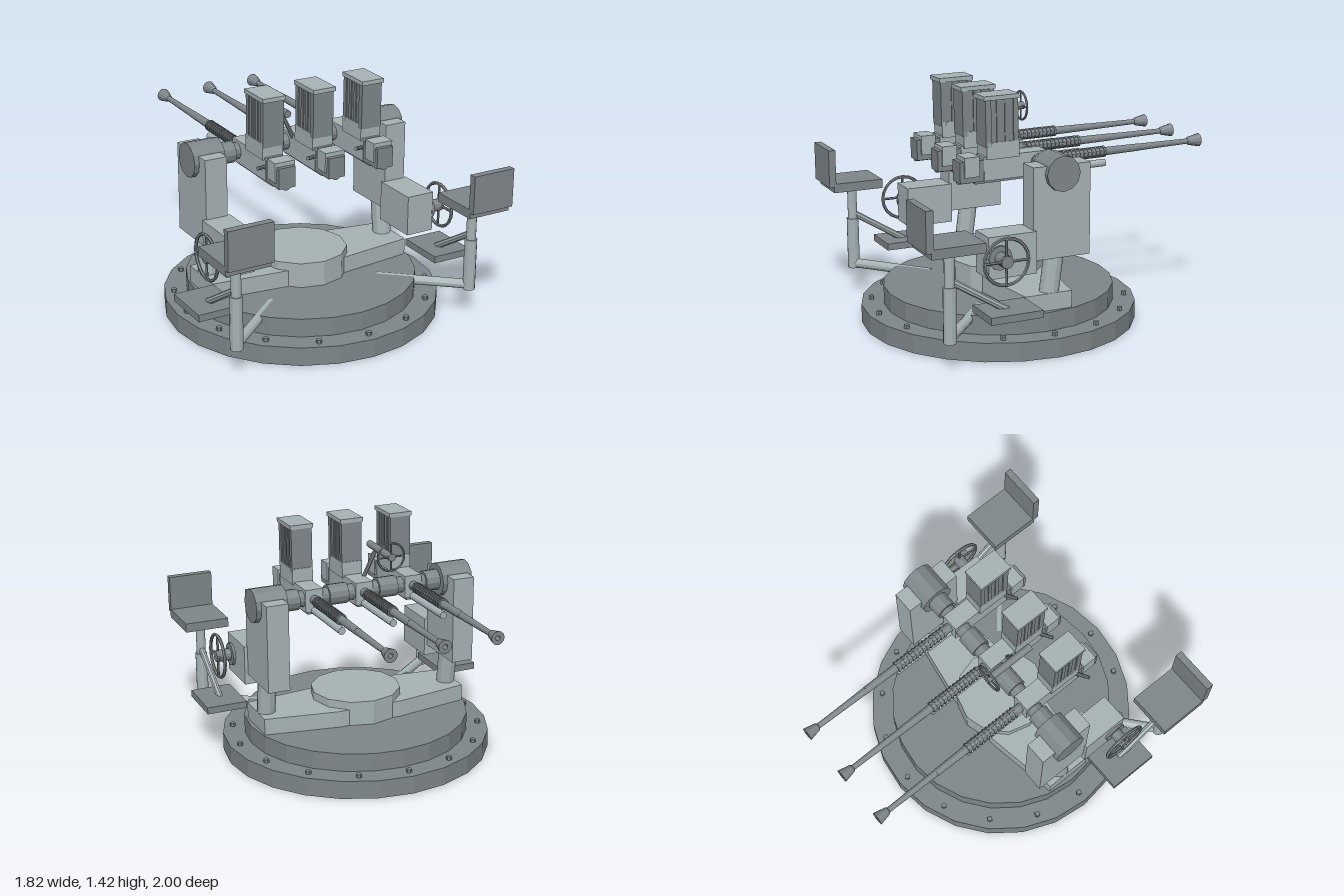
import * as THREE from 'three';

const paint = color => new THREE.MeshStandardMaterial({ color, flatShading: true });
const dark = paint(0x7e8689), light = paint(0xa6b2b5);

// Parts in the lighter paint; all others are dark
const lightParts = new Set(['hub', 'crossBeam', 'supportColumn', 'upright', 'gearbox', 'seatPost', 'seatSocket',
  'seatArm', 'seatStrut', 'magazineSeat', 'magazineCap', 'receiver', 'rearCover', 'gasTube']);

function add(parent, name, geo, x = 0, y = 0, z = 0) {
  const m = new THREE.Mesh(geo, lightParts.has(name) ? light : dark);
  m.name = name;
  m.position.set(x, y, z);
  parent.add(m);
  return m;
}

// Box given by its limits on each axis
function box(parent, name, x0, x1, y0, y1, z0, z1) {
  return add(parent, name, new THREE.BoxGeometry(x1 - x0, y1 - y0, z1 - z0),
    (x0 + x1) / 2, (y0 + y1) / 2, (z0 + z1) / 2);
}

// Cylinder or cone between two points
function rod(parent, name, a, b, r0, r1 = r0, sides = 12) {
  const p = new THREE.Vector3(...a), q = new THREE.Vector3(...b);
  const d = q.clone().sub(p);
  const m = add(parent, name, new THREE.CylinderGeometry(r1, r0, d.length(), sides));
  m.position.copy(p).add(q).multiplyScalar(0.5);
  m.quaternion.setFromUnitVectors(new THREE.Vector3(0, 1, 0), d.normalize());
  return m;
}

// Four-spoke wheel lying in the local xy plane
function handwheel(name, r, tube) {
  const g = new THREE.Group();
  g.name = name;
  add(g, 'rim', new THREE.TorusGeometry(r - tube, tube, 6, 20));
  rod(g, 'spoke', [-r + tube, 0, 0], [r - tube, 0, 0], tube * 0.8, tube * 0.8, 6);
  rod(g, 'spoke', [0, -r + tube, 0], [0, r - tube, 0], tube * 0.8, tube * 0.8, 6);
  rod(g, 'wheelBoss', [0, 0, -0.015], [0, 0, 0.015], r * 0.25);
  return g;
}

function makeGun() {
  const g = new THREE.Group();
  g.name = 'gun';
  // receiver
  box(g, 'receiver', -0.055, 0.055, 0.938, 1.075, 0.04, 0.43);
  box(g, 'receiverUnderside', -0.04, 0.04, 0.923, 0.94, 0.05, 0.48);
  box(g, 'rearBlock', -0.052, 0.052, 0.938, 1.06, 0.42, 0.575);
  box(g, 'rearCover', -0.062, 0.062, 0.97, 1.085, 0.46, 0.55);
  rod(g, 'bufferTube', [0, 0.953, 0.3], [0, 0.953, 0.57], 0.03);
  // magazine
  box(g, 'magazineSeat', -0.065, 0.065, 1.06, 1.155, 0.215, 0.415);
  box(g, 'magazine', -0.058, 0.058, 1.13, 1.40, 0.23, 0.412);
  box(g, 'magazinePanel', -0.065, 0.065, 1.13, 1.40, 0.385, 0.42);
  box(g, 'magazinePanel', -0.065, 0.065, 1.13, 1.40, 0.22, 0.25);
  for (const z of [0.29, 0.34]) box(g, 'magazineRib', -0.064, 0.064, 1.15, 1.40, z - 0.012, z + 0.012);
  box(g, 'magazineCap', -0.072, 0.072, 1.395, 1.42, 0.215, 0.43);
  // charging handle
  rod(g, 'chargingHandle', [-0.045, 1.02, 0.415], [-0.12, 1.036, 0.455], 0.011, 0.011, 8);
  // barrel, recoil spring and gas tube
  rod(g, 'barrelSleeve', [0, 1.012, 0.05], [0, 1.012, -0.35], 0.028);
  for (let i = 0; i < 14; i++) {
    const z = -0.005 - i * 0.026;
    rod(g, 'springCoil', [0, 1.012, z], [0, 1.012, z - 0.014], 0.034, 0.034, 10);
  }
  rod(g, 'barrel', [0, 1.012, -0.35], [0, 1.012, -0.58], 0.025, 0.022);
  rod(g, 'barrelTip', [0, 1.012, -0.58], [0, 1.012, -0.92], 0.021, 0.016);
  rod(g, 'gasTube', [0, 0.945, 0.05], [0, 0.945, -0.36], 0.022);
  // flared muzzle with a hollow mouth
  const flare = [[0.016, 0], [0.024, 0.008], [0.04, 0.08], [0.014, 0.08], [0.011, 0.04], [0, 0.04]];
  const muzzle = add(g, 'muzzle', new THREE.LatheGeometry(flare.map(p => new THREE.Vector2(...p)), 12), 0, 1.012, -0.92);
  muzzle.rotation.x = -Math.PI / 2;
  return g;
}

// One side of the mount; s is +1 for the left, -1 for the right
function makeSide(s) {
  const g = new THREE.Group();
  g.name = s > 0 ? 'leftSide' : 'rightSide';
  const b = (name, x0, x1, ...r) => box(g, name, Math.min(s * x0, s * x1), Math.max(s * x0, s * x1), ...r);
  const t = (name, a, c, ...r) => rod(g, name, [s * a[0], a[1], a[2]], [s * c[0], c[1], c[2]], ...r);
  // upright and trunnion
  t('supportColumn', [0.6, 0.3, 0.14], [0.6, 0.56, 0.105], 0.056);
  b('upright', 0.53, 0.665, 0.525, 1.055, -0.085, 0.265);
  t('trunnion', [0.5, 1.01, 0.094], [0.695, 1.01, 0.094], 0.102);
  t('trunnionCollar', [0.41, 1.01, 0.094], [0.51, 1.01, 0.094], 0.064);
  // gearbox and handwheel
  b('gearbox', 0.51, 0.685, 0.46, 0.70, 0.255, 0.545);
  t('wheelBearing', [0.68, 0.58, 0.48], [0.7, 0.58, 0.48], 0.07);
  t('wheelShaft', [0.68, 0.58, 0.48], [0.775, 0.58, 0.48], 0.037);
  const wheel = handwheel('handwheel', 0.142, 0.01);
  wheel.rotation.y = Math.PI / 2;
  wheel.position.set(s * 0.775, 0.58, 0.48);
  g.add(wheel);
  // footrest
  b('footrest', 0.655, 0.905, 0.28, 0.322, 0.32, 0.63);
  // seat and its frame
  b('seat', 0.64, 0.912, 0.69, 0.745, 0.66, 0.97);
  b('seatBack', 0.64, 0.912, 0.725, 0.955, 0.957, 1.0);
  t('seatPost', [0.772, 0.45, 0.815], [0.772, 0.69, 0.815], 0.029);
  t('seatSocket', [0.772, 0.168, 0.815], [0.772, 0.485, 0.815], 0.037);
  t('seatArm', [0.772, 0.195, 0.815], [0.36, 0.195, 0.46], 0.029);
  t('seatStrut', [0.772, 0.52, 0.815], [0.772, 0.305, 0.47], 0.02, 0.02, 8);
  return g;
}

export function createModel() {
  const root = new THREE.Group();
  root.name = 'tripleGunMount';
  const cz = 0.177;

  // round base with bolts
  add(root, 'basePlate', new THREE.CylinderGeometry(0.818, 0.818, 0.11, 24), 0, 0.055, cz);
  add(root, 'turntable', new THREE.CylinderGeometry(0.685, 0.685, 0.11, 24), 0, 0.165, cz);
  add(root, 'hub', new THREE.CylinderGeometry(0.275, 0.275, 0.15, 12), 0, 0.295, cz);
  for (let i = 0; i < 16; i++) {
    const a = i * Math.PI / 8;
    add(root, 'bolt', new THREE.CylinderGeometry(0.017, 0.017, 0.022, 6),
      0.757 * Math.sin(a), 0.12, cz + 0.757 * Math.cos(a));
  }

  // cross beam, tapering to both ends
  const outline = [[-0.655, 0.02], [-0.2, -0.056], [0.2, -0.056], [0.655, 0.02],
    [0.655, 0.31], [0.2, 0.363], [-0.2, 0.363], [-0.655, 0.31]];
  const shape = new THREE.Shape(outline.map(([x, z]) => new THREE.Vector2(x, -z)));
  const beam = add(root, 'crossBeam', new THREE.ExtrudeGeometry(shape, { depth: 0.1, bevelEnabled: false }), 0, 0.22, 0);
  beam.rotation.x = -Math.PI / 2;

  for (const s of [1, -1]) root.add(makeSide(s));

  // cradle shaft carrying the guns
  rod(root, 'cradleShaft', [-0.52, 1.01, 0.094], [0.52, 1.01, 0.094], 0.049);
  for (const x of [-0.16, 0.16]) rod(root, 'cradleCollar', [x - 0.06, 1.01, 0.094], [x + 0.06, 1.01, 0.094], 0.063);

  // guns, raised very slightly towards the muzzle
  for (const x of [-0.32, 0, 0.32]) {
    const gun = makeGun();
    gun.rotation.x = 0.013;
    gun.position.set(x, 0, -0.013);
    root.add(gun);
  }

  // sight ring on its arm
  rod(root, 'sightTube', [-0.135, 1.235, 0.26], [-0.135, 1.235, -0.04], 0.022);
  rod(root, 'sightArm', [-0.135, 1.235, 0.165], [-0.045, 1.05, 0.165], 0.013, 0.013, 8);
  const ring = handwheel('sightRing', 0.092, 0.007);
  ring.position.set(-0.135, 1.235, -0.04);
  root.add(ring);

  return root;
}
